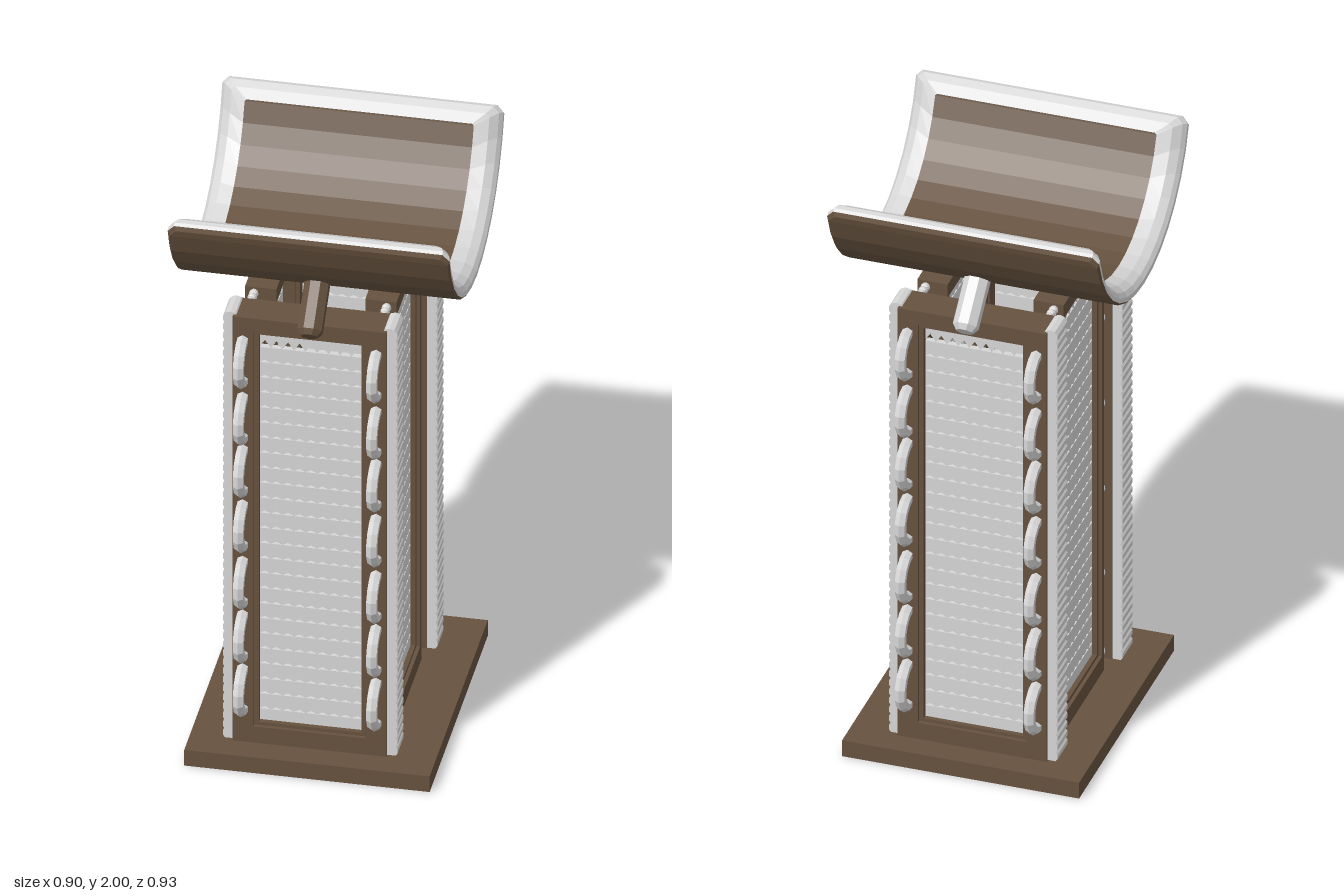
import * as THREE from 'three';
import { mergeGeometries } from 'three/addons/utils/BufferGeometryUtils.js';

export function createModel() {
  const brown = new THREE.MeshStandardMaterial({ color: 0x66523f, flatShading: true });
  brown.name = 'dark wood brown';
  const grey = new THREE.MeshStandardMaterial({ color: 0xd6d6d6, flatShading: true });
  grey.name = 'light grey';

  const model = new THREE.Group();
  model.name = 'pedestalWithTrough';
  const add = (parent, name, geometry, material) => {
    const mesh = new THREE.Mesh(geometry, material);
    mesh.name = name;
    parent.add(mesh);
    return mesh;
  };

  // Base slab
  add(model, 'base', new THREE.BoxGeometry(0.784, 0.058, 0.926), brown).position.y = 0.029;

  // Tower of four upright panels, standing slightly off the centre line
  const tower = new THREE.Group();
  tower.name = 'tower';
  tower.position.x = -0.009;
  model.add(tower);
  const Y0 = 0.058, Y1 = 1.634;

  const frame = (w, y0, y1, holeW, h0, h1, depth) => {
    const rect = (path, hw, a, b) => path.moveTo(-hw, a).lineTo(hw, a).lineTo(hw, b).lineTo(-hw, b).lineTo(-hw, a);
    const shape = new THREE.Shape();
    rect(shape, w, y0, y1);
    const hole = new THREE.Path();
    rect(hole, holeW, h0, h1);
    shape.holes.push(hole);
    return new THREE.ExtrudeGeometry(shape, { depth, bevelEnabled: false });
  };

  // Slats with a saw-toothed lower edge, above one plain bottom slat
  const slatDepth = 0.02;
  const slats = (halfWidth) => {
    const list = [], count = 25, bottom = 0.17, pitch = 0.056, teeth = 9;
    list.push(new THREE.BoxGeometry(2 * halfWidth, 0.045, slatDepth)
      .translate(0, bottom - 0.0225, slatDepth / 2).toNonIndexed());
    for (let i = 0; i < count; i++) {
      const low = bottom + i * pitch, tooth = i === count - 1 ? 0.028 : 0.01;
      const s = new THREE.Shape();
      s.moveTo(-halfWidth, low + pitch).lineTo(-halfWidth, low);
      for (let t = 0; t < teeth; t++) {
        s.lineTo(-halfWidth + ((t + 0.5) / teeth) * 2 * halfWidth, low + tooth);
        s.lineTo(-halfWidth + ((t + 1) / teeth) * 2 * halfWidth, low);
      }
      s.lineTo(halfWidth, low + pitch);
      list.push(new THREE.ExtrudeGeometry(s, { depth: slatDepth, bevelEnabled: false }));
    }
    return mergeGeometries(list);
  };

  // Panel built facing +z, its outer face at distance "out"
  const panel = (name, halfWidth, opening, out, depth, turn) => {
    const g = new THREE.Group();
    g.name = name;
    g.rotation.y = turn;
    tower.add(g);
    add(g, 'frame', frame(halfWidth, Y0, Y1, opening + 0.015, 0.118, 1.585, depth), brown).position.z = out - depth;
    add(g, 'innerFrame', frame(opening + 0.016, 0.116, 1.586, opening, 0.13, 1.57, depth - 0.024), brown).position.z = out - depth + 0.012;
    add(g, 'slats', slats(opening + 0.002), grey).position.z = out - 0.028 - slatDepth;
    return g;
  };

  // C-shaped loops up both edges of the front and back panels
  const loopList = [];
  for (const y of [1.475, 1.265, 1.07, 0.865, 0.655, 0.455, 0.255]) {
    for (const x of [-0.213, 0.213]) {
      const loop = new THREE.TorusGeometry(0.076, 0.019, 6, 7, Math.PI);
      loop.rotateZ(-Math.PI / 2).rotateY(-Math.PI / 2).translate(x, y, 0.372);
      loopList.push(loop);
    }
  }
  const loops = mergeGeometries(loopList);

  // Stacked ribs covering the side edges of the front and back panels
  const ribList = [];
  const ribCount = 48, ribPitch = (Y1 - Y0) / ribCount;
  for (let i = 0; i < ribCount; i++) {
    for (const x of [-0.254, 0.254]) {
      ribList.push(new THREE.CylinderGeometry(0.026, 0.026, 0.097, 10)
        .rotateX(Math.PI / 2).translate(x, Y0 + (i + 0.5) * ribPitch, 0.317));
    }
  }
  const ribs = mergeGeometries(ribList);

  for (const [name, turn] of [['frontPanel', 0], ['backPanel', Math.PI]]) {
    const g = panel(name, 0.246, 0.164, 0.378, 0.114, turn);
    add(g, 'loops', loops, grey);
    add(g, 'edgeRibs', ribs, grey);
  }
  panel('leftPanel', 0.197, 0.164, 0.242, 0.1, Math.PI / 2);
  panel('rightPanel', 0.197, 0.164, 0.242, 0.1, -Math.PI / 2);

  // Beaded pins joining the panels at the corners
  const beadList = [];
  for (const y of [0.09, 0.38, 0.69, 1.005, 1.32, 1.617])
    for (const x of [-0.212, 0.212])
      for (const side of [-1, 1])
        for (const z of [0.208, 0.23, 0.252])
          beadList.push(new THREE.SphereGeometry(0.0155, 8, 6).translate(x, y, side * z));
  add(tower, 'cornerPins', mergeGeometries(beadList), grey);

  // Slanted struts under the trough: brown in front, grey at the back
  const strut = (name, side, material) => {
    const from = new THREE.Vector3(0, 1.621, 0.426 * side);
    const to = new THREE.Vector3(0, 1.75, 0.285 * side);
    const dir = to.clone().sub(from), length = dir.length();
    const profile = [[0, 0], [0.028, 0], [0.042, 0.018], [0.042, length]].map((p) => new THREE.Vector2(...p));
    const mesh = add(model, name, new THREE.LatheGeometry(profile, 8, Math.PI / 8), material);
    mesh.position.copy(from);
    mesh.quaternion.setFromUnitVectors(new THREE.Vector3(0, 1, 0), dir.normalize());
  };
  strut('frontStrut', 1, brown);
  strut('backStrut', -1, grey);

  // Curved trough: closed loops, each an arc through its lowest point and its tips
  const n = 16;
  const ring = ([halfX, bottom, tipZ, tipY, corner]) => {
    const rise = tipY - bottom;
    const r = (tipZ * tipZ + rise * rise) / (2 * rise), axisY = bottom + r;
    const a = Math.atan2(tipZ, axisY - tipY);
    const right = [], left = [];
    for (let j = 0; j <= n; j++) {
      const end = j === 0 || j === n;
      const t = end ? (j === 0 ? -a : a) : (a - 2.5 * corner) * (-1 + (2 * (j - 1)) / (n - 2));
      const x = halfX - (end ? corner : 0);
      const y = axisY - r * Math.cos(t), z = r * Math.sin(t);
      right.push([x, y, z]);
      left.push([-x, y, z]);
    }
    return { right, left, all: [...right, ...left.slice().reverse()] };
  };
  const quad = (out, a, b, c, d) => out.push(...a, ...b, ...c, ...a, ...c, ...d);
  const sheet = (out, { right, left }, inner) => {
    for (let j = 0; j < n; j++) {
      if (inner) quad(out, right[j], left[j], left[j + 1], right[j + 1]);
      else quad(out, right[j + 1], left[j + 1], left[j], right[j]);
    }
  };
  const loft = (out, rings) => {
    for (let k = 0; k < rings.length - 1; k++) {
      const A = rings[k].all, B = rings[k + 1].all;
      for (let i = 0; i < A.length; i++) {
        const m = (i + 1) % A.length;
        quad(out, A[m], A[i], B[i], B[m]);
      }
    }
  };
  const toGeometry = (positions) => {
    const g = new THREE.BufferGeometry();
    g.setAttribute('position', new THREE.Float32BufferAttribute(positions, 3));
    g.computeVertexNormals();
    return g;
  };
  // Each row: half length in x, lowest y, tip z, tip y, corner cut
  const rings = [
    [0.444, 1.631, 0.448, 1.974, 0.022],
    [0.45, 1.638, 0.444, 1.99, 0.022],
    [0.449, 1.653, 0.434, 1.997, 0.02],
    [0.438, 1.668, 0.418, 2.0, 0.018],
    [0.412, 1.681, 0.392, 1.988, 0.012],
    [0.366, 1.687, 0.371, 1.958, 0.006],
  ].map(ring);
  const shell = [], rim = [];
  sheet(shell, rings[0], false);
  loft(shell, rings.slice(0, 2));
  sheet(shell, rings[5], true);
  loft(rim, rings.slice(1));
  const trough = new THREE.Group();
  trough.name = 'trough';
  model.add(trough);
  add(trough, 'troughShell', toGeometry(shell), brown);
  add(trough, 'troughRim', toGeometry(rim), grey);

  return model;
}
